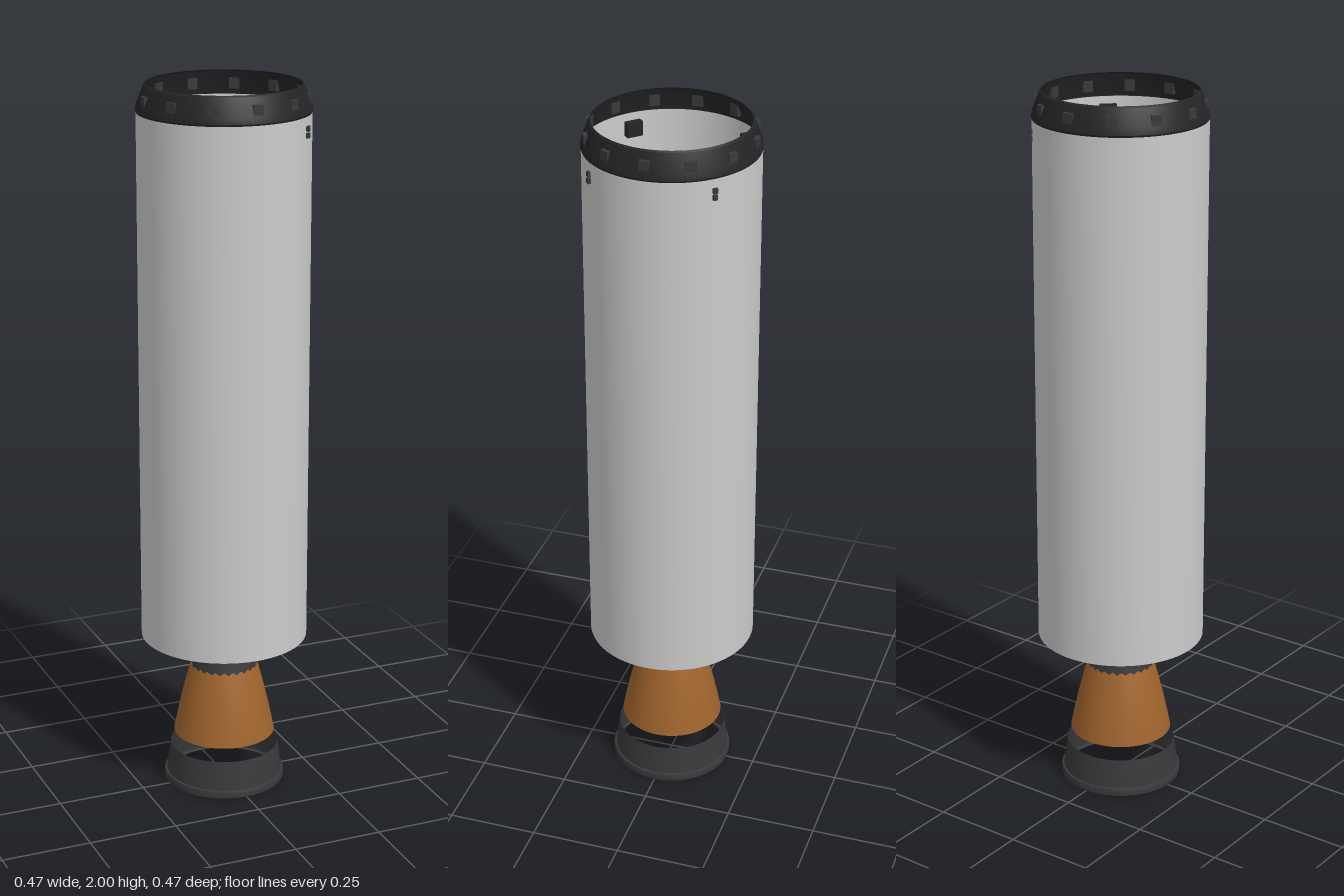
import * as THREE from 'three';
import { toCreasedNormals } from 'three/addons/utils/BufferGeometryUtils.js';

const mat = (color) => new THREE.MeshStandardMaterial({ color, side: THREE.DoubleSide });

export function createModel() {
  const model = new THREE.Group();
  const grey = mat(0xcccccc);
  const black = mat(0x242426);
  const dark = mat(0x38393a);
  const copper = mat(0xa0642c);

  const add = (name, geometry, material, x = 0, y = 0, z = 0, parent = model) => {
    const mesh = new THREE.Mesh(geometry, material);
    mesh.name = name;
    mesh.position.set(x, y, z);
    parent.add(mesh);
    return mesh;
  };
  // surface of revolution from [radius, height] pairs, edges kept sharp
  const lathe = (points, segments = 64) => toCreasedNormals(
    new THREE.LatheGeometry(points.map(([r, y]) => new THREE.Vector2(r, y)), segments), 0.5);
  // group turned so that its local +z points outward at the given angle
  const spoke = (name, angle) => {
    const group = new THREE.Group();
    group.name = name;
    group.rotation.y = angle;
    model.add(group);
    return group;
  };

  // Open body tube and the bulkhead closing its lower end
  add('bodyTube', lathe([[0.233, 0.445], [0.233, 1.93]]), grey);
  add('bulkhead', lathe([[0, 0.441], [0.17, 0.441], [0.233, 0.447]]), black);

  // Tapered ring at the top with twelve latches
  add('topRing', lathe([[0.233, 1.925], [0.235, 1.93], [0.232, 1.945], [0.212, 1.996], [0.207, 2]]), black);
  for (let i = 0; i < 12; i++) {
    const latch = spoke('latch', i * Math.PI / 6);
    add('latchBlock', new THREE.BoxGeometry(0.028, 0.03, 0.013), dark, 0, 1.962, 0.223, latch);
  }

  // Diagonal thruster blocks inside the wall; the left pair has outer nozzles
  for (let i = 0; i < 4; i++) {
    const thruster = spoke('thruster', Math.PI / 4 + i * Math.PI / 2);
    add('thrusterBlock', new THREE.BoxGeometry(0.045, 0.04, 0.02), black, 0, 1.89, 0.22, thruster);
    if (i < 2) {
      for (const dy of [-0.009, 0.009]) {
        add('thrusterNozzle', new THREE.BoxGeometry(0.012, 0.014, 0.01), dark, 0, 1.885 + dy, 0.235, thruster);
      }
    }
  }

  // Engine head above the bulkhead and neck below it
  add('engineCollar', lathe([[0.078, 0.44], [0.076, 0.45], [0.066, 0.45]]), dark);
  add('engineDome', lathe([[0.066, 0.45], [0.055, 0.458], [0, 0.46]]), grey);
  add('engineNeck', lathe([[0.092, 0.34], [0.085, 0.37], [0.078, 0.41], [0.082, 0.43], [0.082, 0.443]]), dark);

  // Pump and feed pipes beside the neck
  add('pump', new THREE.CylinderGeometry(0.033, 0.033, 0.05, 8).toNonIndexed(), black, 0.091, 0.428, 0);
  add('pumpInlet', new THREE.BoxGeometry(0.03, 0.03, 0.05), black, 0.1, 0.42, -0.015);
  for (const side of [-1, 1]) {
    add('feedPipe', new THREE.CylinderGeometry(0.005, 0.005, 0.08, 8), grey, side * 0.083, 0.415, 0.033);
  }

  // Copper nozzle bell with a scalloped upper edge
  const bellPoints = [[0.094, 0.345], [0.108, 0.3], [0.123, 0.24], [0.134, 0.19], [0.143, 0.145]];
  const bell = new THREE.LatheGeometry(
    bellPoints.reverse().map(([r, y]) => new THREE.Vector2(r, y)), 48);
  const pos = bell.attributes.position;
  const rows = bellPoints.length;
  for (let i = 0; i <= 48; i++) {
    if (i % 2) pos.setY(i * rows + rows - 1, 0.354);
  }
  add('nozzleBell', bell, copper);
  add('nozzleThroat', lathe([[0.088, 0.335], [0.09, 0.34], [0, 0.345]]), black);

  // Detached nozzle skirt with its rolled lip
  add('nozzleSkirt', lathe([[0.165, 0.012], [0.161, 0.05], [0.153, 0.108]]), dark);
  add('skirtLip', lathe([[0.163, 0], [0.17, 0.003], [0.171, 0.018], [0.169, 0.024], [0.163, 0.025]]), dark);

  return model;
}
